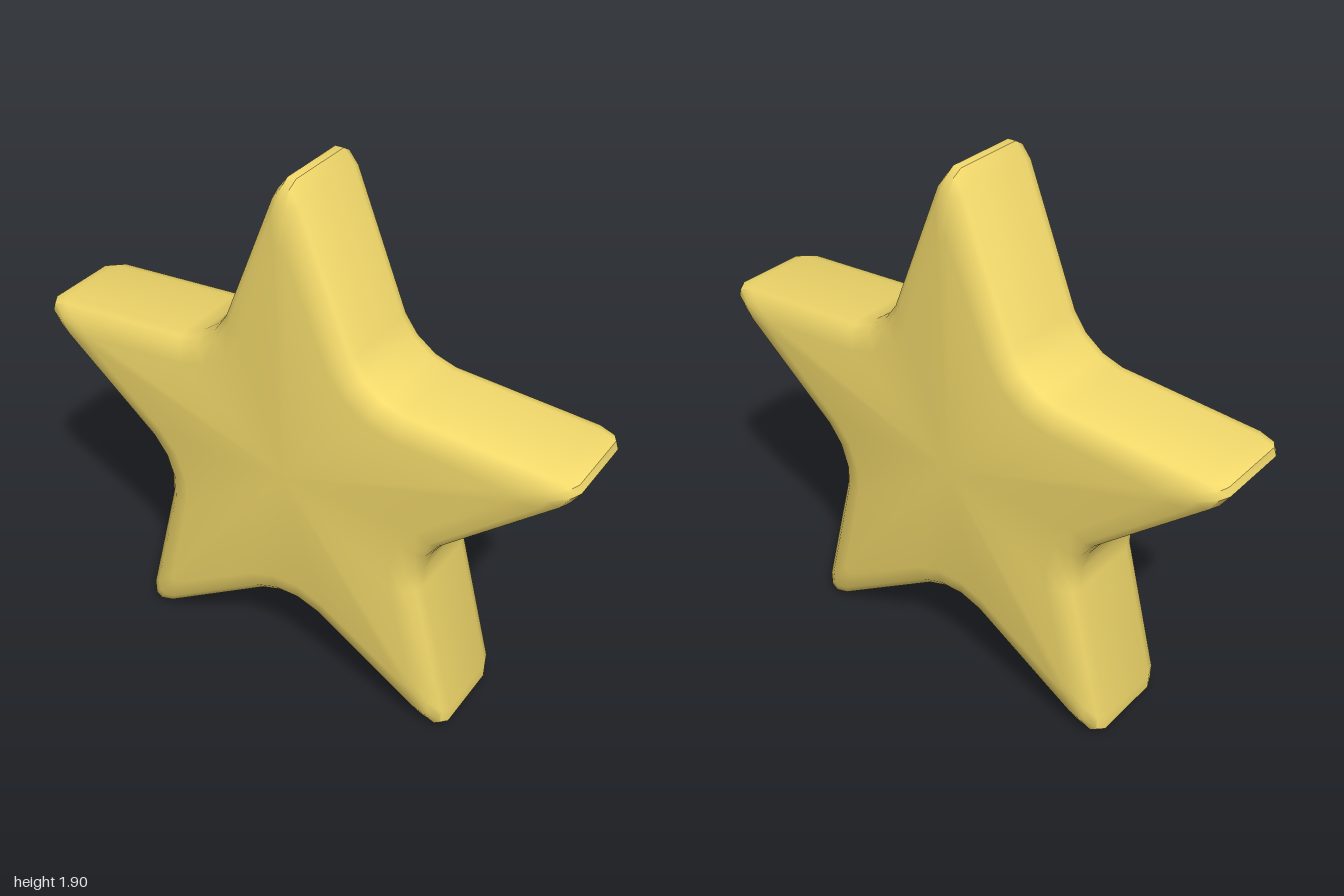
import * as THREE from 'three';
import { toCreasedNormals } from 'three/addons/utils/BufferGeometryUtils.js';

const CENTRE_Y = 0.854;

// Half an arm, from tip to valley: [along, across] on the rim and on the flat face
const HALF_ARM = [
  { rim: [1.045, 0.015], face: [0.84, 0.006] },
  { rim: [1.0, 0.05], face: [0.82, 0.022] },
  { rim: [0.524, 0.24], face: [0.475, 0.165] },
  { rim: [0.462, 0.285], face: [0.393, 0.22] },
];

// Rounded edge from rim to face: [blend towards face, half depth]
const BEVEL = [[0, 0.13], [0.1, 0.165], [0.4, 0.19], [1, 0.2]];

// Clockwise outline of the star, blended between rim (0) and face (1)
function starLoop(blend) {
  const points = [];
  const armPoint = ({ rim, face }, side, angle) => {
    const u = THREE.MathUtils.lerp(rim[0], face[0], blend);
    const v = THREE.MathUtils.lerp(rim[1], face[1], blend) * side;
    points.push([
      u * Math.sin(angle) + v * Math.cos(angle),
      u * Math.cos(angle) - v * Math.sin(angle),
    ]);
  };
  for (let arm = 0; arm < 5; arm++) {
    const angle = (arm * Math.PI * 2) / 5;
    [...HALF_ARM].reverse().forEach((p) => armPoint(p, -1, angle));
    HALF_ARM.forEach((p) => armPoint(p, 1, angle));
  }
  return points;
}

function starGeometry() {
  // Cross-sections from back face to front face
  const layers = [
    ...[...BEVEL].reverse().map(([blend, z]) => [blend, -z]),
    ...BEVEL,
  ];
  const n = HALF_ARM.length * 10;
  const positions = [];
  const index = [];
  for (const [blend, z] of layers) {
    for (const [x, y] of starLoop(blend)) positions.push(x, y, z);
  }
  const back = positions.length / 3;
  const front = back + 1;
  positions.push(0, 0, -0.2, 0, 0, 0.2);

  const last = (layers.length - 1) * n;
  for (let i = 0; i < n; i++) {
    const j = (i + 1) % n;
    // Sides and bevels
    for (let k = 0; k < layers.length - 1; k++) {
      const a = k * n + i, b = k * n + j;
      index.push(a, a + n, b, b, a + n, b + n);
    }
    // Flat faces
    index.push(back, i, j, front, last + j, last + i);
  }
  const geometry = new THREE.BufferGeometry();
  geometry.setAttribute('position', new THREE.Float32BufferAttribute(positions, 3));
  geometry.setIndex(index);
  return toCreasedNormals(geometry, 0.8);
}

export function createModel() {
  const group = new THREE.Group();
  group.name = 'star';
  const body = new THREE.Mesh(
    starGeometry(),
    new THREE.MeshStandardMaterial({ color: 0xf2d96b })
  );
  body.name = 'starBody';
  body.position.y = CENTRE_Y;
  group.add(body);
  return group;
}
